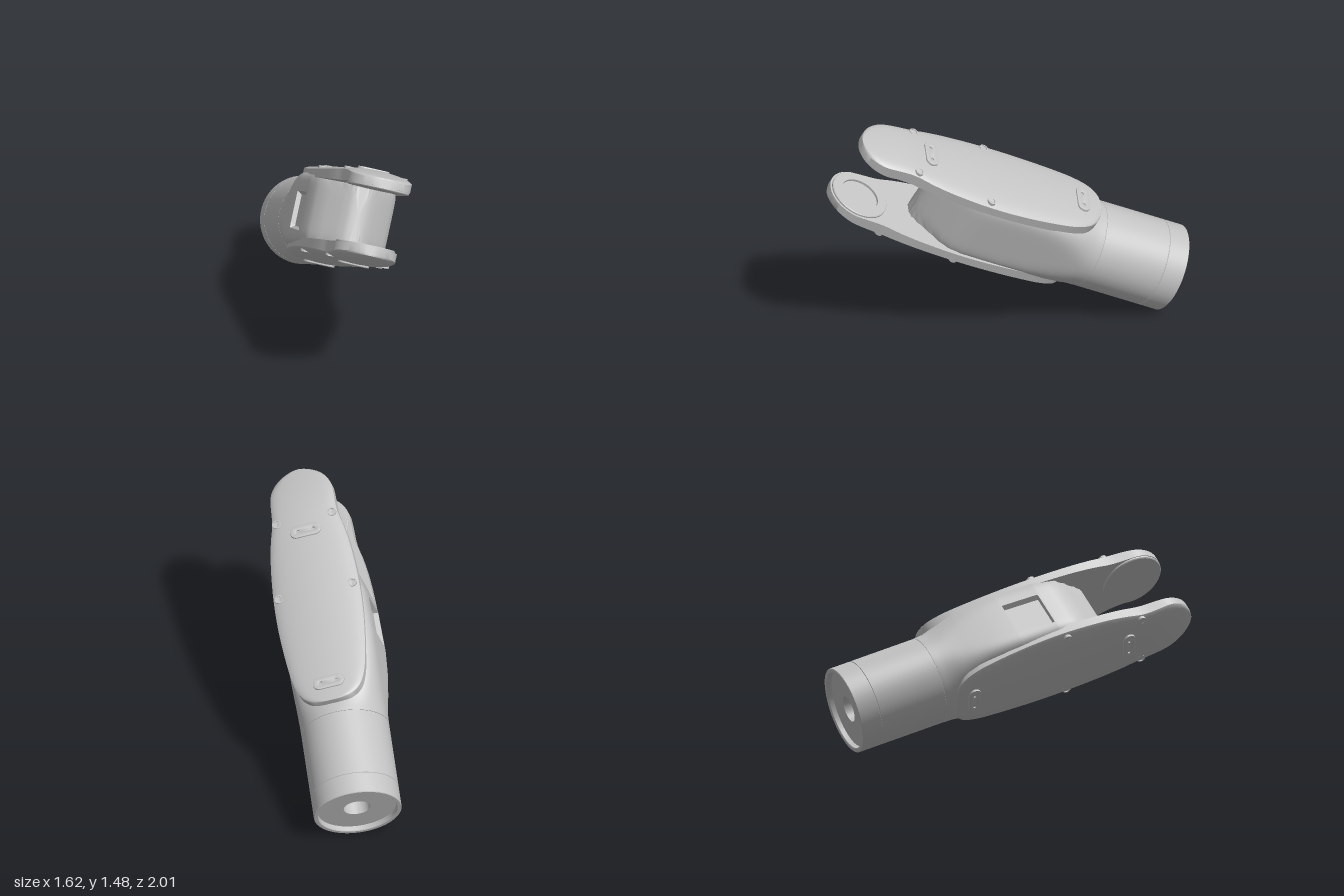
import * as THREE from 'three';
import { toCreasedNormals } from 'three/addons/utils/BufferGeometryUtils.js';

const grey = new THREE.MeshStandardMaterial({ color: 0xc2c2c2 });
grey.name = 'light grey';

function part(name, geometry, parent, crease = 0.55) {
  const mesh = new THREE.Mesh(toCreasedNormals(geometry, crease), grey);
  mesh.name = name;
  parent.add(mesh);
  return mesh;
}

// Skin through closed loops of [x, y, z], counter-clockwise about +z, with end caps
function loft(loops) {
  const n = loops[0].length, pos = loops.flat(2), index = [];
  for (let i = 0; i < loops.length - 1; i++) {
    for (let j = 0; j < n; j++) {
      const a = i * n + j, b = i * n + (j + 1) % n;
      index.push(a, b, b + n, a, b + n, a + n);
    }
  }
  [0, loops.length - 1].forEach((row, end) => {
    const c = pos.length / 3;
    for (let k = 0; k < 3; k++) pos.push(loops[row].reduce((s, p) => s + p[k], 0) / n);
    for (let j = 0; j < n; j++) {
      const a = row * n + j, b = row * n + (j + 1) % n;
      if (end) index.push(c, a, b); else index.push(c, b, a);
    }
  });
  const g = new THREE.BufferGeometry();
  g.setAttribute('position', new THREE.Float32BufferAttribute(pos, 3));
  g.setIndex(index);
  return g;
}

const lathe = (pts, segs = 72) =>
  new THREE.LatheGeometry(pts.map(p => new THREE.Vector2(p[0], p[1])), segs);

// The fork sits slightly off the sleeve axis
const OFFSET = 0.025;

// Housing sections: z, left half width, right half width, half height, squareness
const SECTIONS = [
  [0.59, 0.28, 0.28, 0.28, 2], [0.66, 0.281, 0.279, 0.276, 2.15], [0.76, 0.287, 0.275, 0.262, 3],
  [0.88, 0.297, 0.272, 0.252, 4.5], [1.0, 0.305, 0.27, 0.247, 6], [1.15, 0.31, 0.27, 0.245, 7],
  [1.43, 0.3, 0.268, 0.245, 7], [1.52, 0.28, 0.25, 0.245, 7], [1.58, 0.262, 0.215, 0.245, 7],
  [1.65, 0.2, 0.155, 0.245, 7], [1.72, 0.132, 0.095, 0.245, 7], [1.76, 0.09, 0.05, 0.245, 7],
  [1.775, 0.06, 0.02, 0.245, 7],
];

function sectionAt(z) {
  let i = 0;
  while (i < SECTIONS.length - 2 && SECTIONS[i + 1][0] < z) i++;
  const [p, q] = [SECTIONS[i], SECTIONS[i + 1]];
  const t = (z - p[0]) / (q[0] - p[0]);
  return p.map((v, k) => v + (q[k] - v) * t);
}

// Housing blends from round to square to a rounded nose, with a recessed window on one side
function housing() {
  const zs = [...SECTIONS.map(s => s[0]), 0.62, 0.71, 0.82, 0.94, 1.165, 1.17, 1.41, 1.415].sort((a, b) => a - b);
  return loft(zs.map(z => {
    const [, left, right, h, n] = sectionAt(z);
    const lift = OFFSET * THREE.MathUtils.smoothstep(z, 0.6, 0.95);
    return Array.from({ length: 120 }, (_, j) => {
      const a = (j / 120) * Math.PI * 2, c = Math.cos(a), s = Math.sin(a);
      const w = c < 0 ? left : right;
      const r = 1 / Math.pow(Math.pow(Math.abs(c / w), n) + Math.pow(Math.abs(s / h), n), 1 / n);
      let x = r * c;
      const y = r * s;
      if (c < 0 && Math.abs(y + 0.02) < 0.115 && z > 1.167 && z < 1.413) x += 0.03;
      return [x, y + lift, z];
    });
  }));
}

// Half outline of a fork arm: half width, z
const INNER = 0.195;
function armOutline() {
  const pts = [[0, 0.655], [0.06, 0.658], [0.125, 0.675], [0.185, 0.725], [0.228, 0.82], [0.256, 0.98],
    [0.279, 1.25], [0.28, 1.48], [0.262, 1.72], [0.24, 1.86], [0.213, 1.98]];
  for (let i = 0; i <= 8; i++) {
    const a = (i / 8) * Math.PI / 2;
    pts.push([0.205 * Math.cos(a), 2.13 + 0.203 * Math.sin(a)]);
  }
  return new THREE.CatmullRomCurve3(pts.map(p => new THREE.Vector3(p[0], 0, p[1])), false, 'centripetal').getPoints(90);
}

// Height of the domed cover, drooping towards the tip
function coverHeight(x, z) {
  const d = Math.max(0, (z - 1.98) / 0.36);
  return 0.302 - 0.5 * x * x - 0.055 * d * d;
}

function arm() {
  const steps = 20;
  return loft(armOutline().map(p => {
    const w = Math.max(0, p.x), loop = [];
    for (let j = 0; j <= steps; j++) {
      const t = Math.cos((j / steps) * Math.PI);
      loop.push([w * t, coverHeight(w * t, p.z) - 0.012 * Math.pow(t, 10), p.z]);
    }
    loop.push([-w, INNER, p.z], [0, INNER, p.z], [w, INNER, p.z]);
    return loop;
  }));
}

// Oval pad with two bolt holes, lying flat
function boltPad() {
  const r = 0.037, e = 0.06;
  const shape = new THREE.Shape();
  shape.absarc(e, 0, r, -Math.PI / 2, Math.PI / 2, false);
  shape.absarc(-e, 0, r, Math.PI / 2, Math.PI * 1.5, false);
  shape.closePath();
  for (const x of [-0.05, 0.05]) {
    const hole = new THREE.Path();
    hole.absarc(x, 0, 0.014, 0, Math.PI * 2, true);
    shape.holes.push(hole);
  }
  return new THREE.ExtrudeGeometry(shape, {
    depth: 0.02, bevelThickness: 0.005, bevelSize: 0.005, bevelSegments: 2, curveSegments: 16,
  }).rotateX(-Math.PI / 2);
}

function forkArm(name, pivot) {
  const g = new THREE.Group();
  g.name = name;
  part('armCover', arm(), g);
  for (const z of [0.785, 1.87]) part('boltPad', boltPad(), g).position.set(0, 0.287, z);

  // Edge screws set into the cover
  for (const side of [-1, 1]) {
    for (const [x, z] of [[0.24, 1.45], [0.18, 1.965]]) {
      const screw = lathe([[0.029, -0.03], [0.029, 0.004], [0.021, 0.004], [0.021, -0.002], [0, -0.002]], 20);
      part('edgeScrew', screw, g).position.set(side * x, coverHeight(x, z), z);
    }
  }
  part('pivotFace', lathe(pivot), g).position.z = 2.13;
  return g;
}

export function createModel() {
  const model = new THREE.Group();
  model.name = 'robotArmLink';
  const link = new THREE.Group();
  link.name = 'link';
  model.add(link);

  // Round joint sleeve with recessed end, bore and two seam grooves
  const R = 0.28, G = 0.276;
  part('jointSleeve', lathe([
    [0, 0.3], [0.085, 0.3], [0.085, 0.035], [0.25, 0.035], [0.25, 0.004], [0.254, 0], [0.276, 0], [R, 0.004],
    [R, 0.137], [G, 0.139], [G, 0.141], [R, 0.143], [R, 0.587], [G, 0.589], [G, 0.591], [R, 0.593], [R, 0.6],
  ], 96).rotateX(Math.PI / 2), link);

  part('housing', housing(), link);

  // Two arms, the lower one turned over; plain pivot disc above, ring below
  const upper = forkArm('upperArm', [[0, 0.18], [0.195, 0.18], [0.2, 0.185], [0.2, 0.2]]);
  const lower = forkArm('lowerArm', [[0.127, 0.196], [0.127, 0.18], [0.185, 0.18], [0.19, 0.185], [0.19, 0.2]]);
  lower.rotation.z = Math.PI;
  upper.position.y = lower.position.y = OFFSET;
  link.add(upper, lower);

  // Tilt the link: local z runs along the arm, y is normal to the fork plates
  const yaw = Math.asin(0.555), tilt = Math.PI / 6;
  link.rotation.set(-tilt, yaw, 0, 'XYZ');
  link.position.set(-0.587, 0.255, -0.806);
  return model;
}
